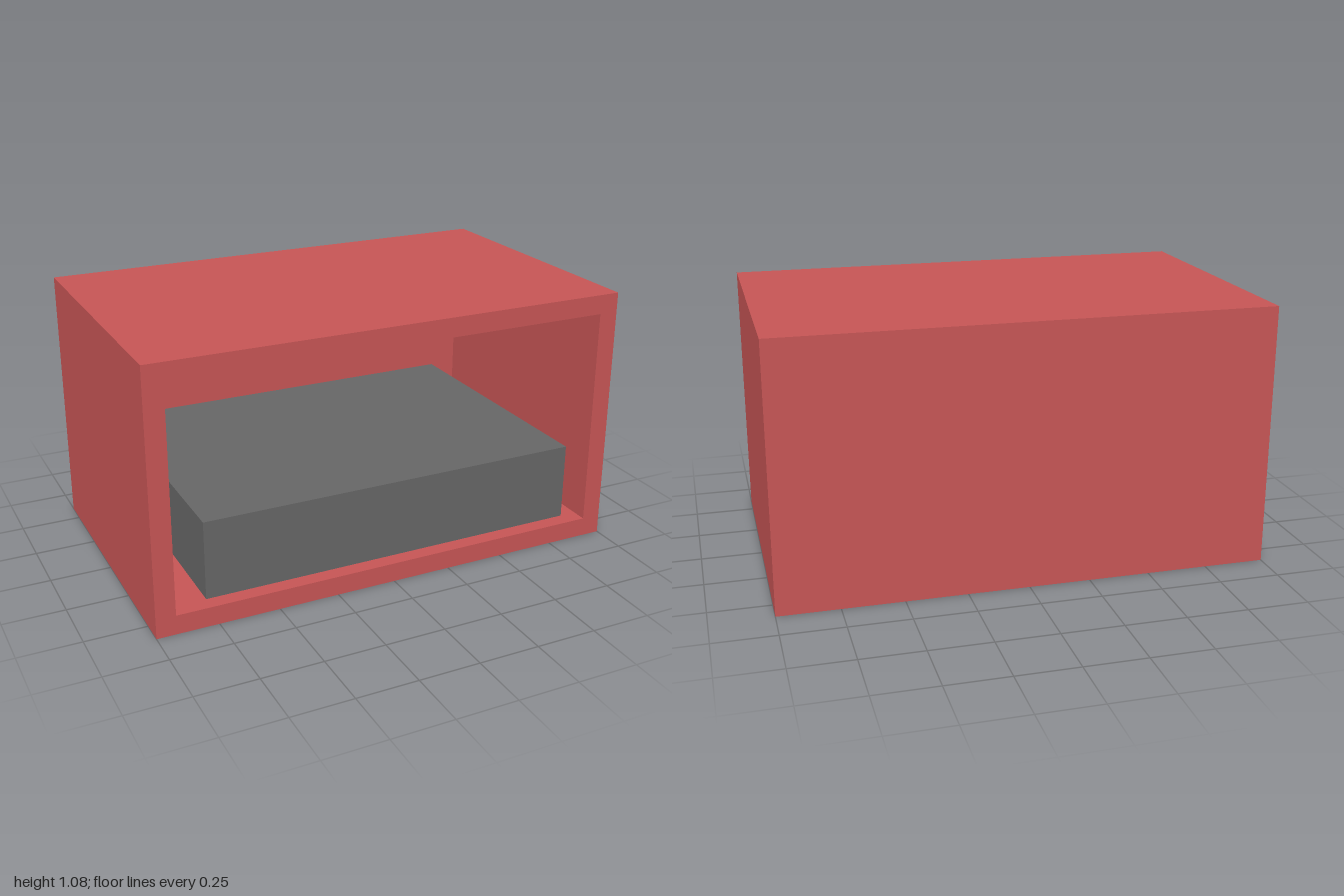
import * as THREE from 'three';

const W = 2, H = 1.08, D = 1.2, WALL = 0.08;

// Counter-clockwise rectangle corners, raised to start at y
const rect = (w, h, y) => [[-w / 2, y], [w / 2, y], [w / 2, y + h], [-w / 2, y + h]]
  .map(([px, py]) => new THREE.Vector2(px, py));

export function createModel() {
  const model = new THREE.Group();
  const red = new THREE.MeshStandardMaterial({ color: 0xc65555 });
  const grey = new THREE.MeshStandardMaterial({ color: 0x666666 });

  const add = (name, geometry, material, y, z) => {
    const mesh = new THREE.Mesh(geometry, material);
    mesh.name = name;
    mesh.position.set(0, y, z);
    model.add(mesh);
  };

  // Housing: one open-fronted shell, a closed back with a rectangular tube in front
  const outline = new THREE.Shape(rect(W, H, 0));
  outline.holes.push(new THREE.Path(rect(W - 2 * WALL, H - 2 * WALL, WALL).reverse()));
  add('housing', new THREE.ExtrudeGeometry(outline, { depth: D - WALL, bevelEnabled: false }),
    red, 0, -D / 2 + WALL);
  add('backPanel', new THREE.BoxGeometry(W, H, WALL), red, H / 2, -D / 2 + WALL / 2);

  // Drawer: solid block held off the floor, flush with the front rim
  add('drawer', new THREE.BoxGeometry(1.6, 0.32, D - WALL), grey, 0.28, WALL / 2);

  return model;
}
